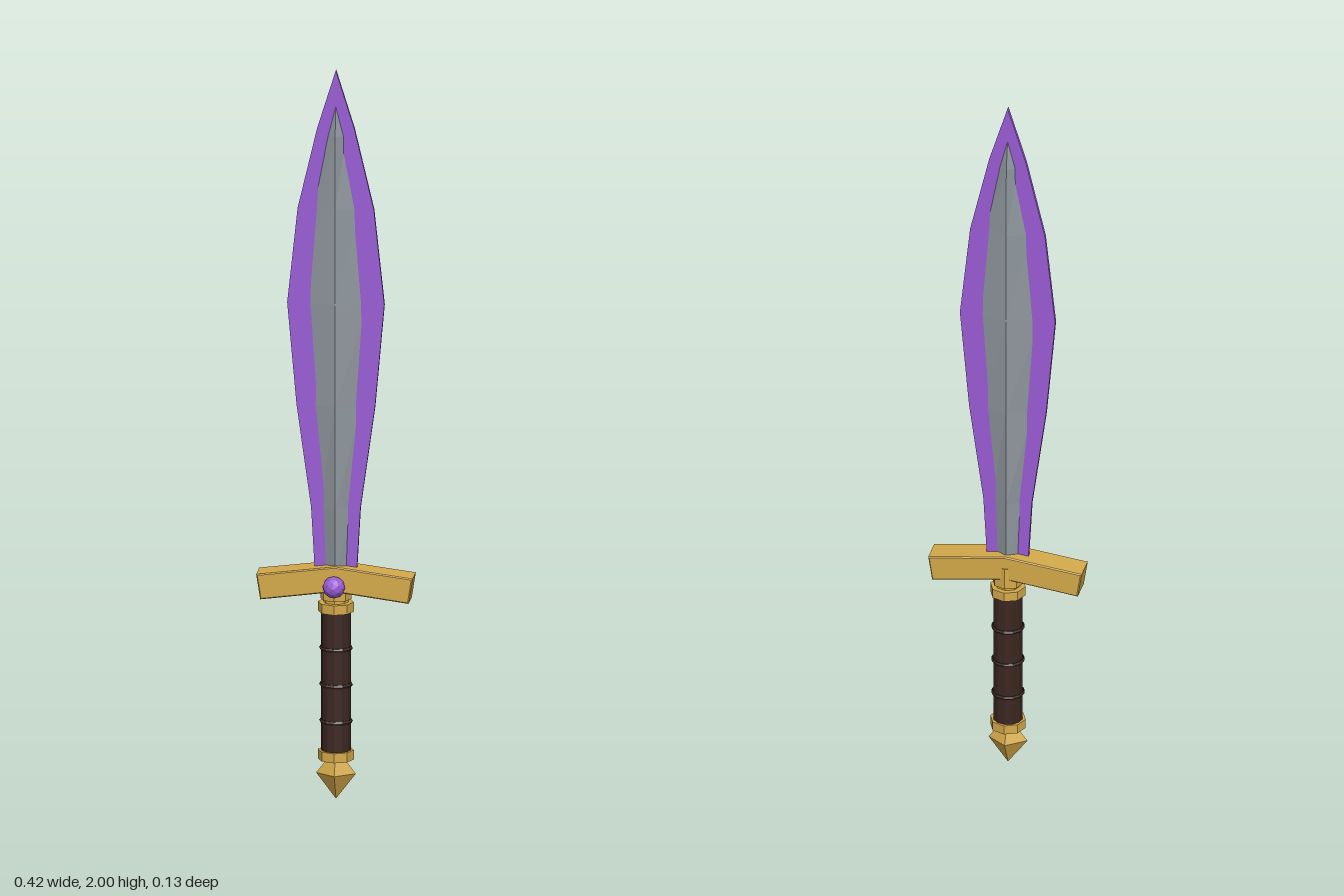
import * as THREE from 'three';

const Z = -0.016; // depth of the sword's central plane
const paint = (color) => new THREE.MeshStandardMaterial({ color, flatShading: true });

export function createModel() {
  const sword = new THREE.Group();
  sword.name = 'sword';
  const gold = paint(0xd4a94a), purple = paint(0x9a5cd6), steel = paint(0x8e969c), leather = paint(0x3b2620);

  const add = (name, geometry, material, y = 0, z = Z) => {
    const mesh = new THREE.Mesh(geometry, material);
    mesh.name = name;
    mesh.position.set(0, y, z);
    sword.add(mesh);
    return mesh;
  };
  // Symmetric outline from [halfWidth, y] pairs running bottom to top
  const mirrored = (half) => new THREE.Shape([
    ...half.map(([x, y]) => new THREE.Vector2(x, y)),
    ...half.slice().reverse().filter(([x]) => x > 0).map(([x, y]) => new THREE.Vector2(-x, y)),
  ]);

  // Thin coloured cutting edge
  const edge = new THREE.ExtrudeGeometry(mirrored([
    [0.056, 0.6], [0.057, 0.64], [0.066, 0.8], [0.105, 1.08], [0.13, 1.36], [0.102, 1.62], [0.05, 1.84], [0, 2],
  ]), { depth: 0.011, bevelEnabled: false });
  edge.translate(0, 0, -0.0055);
  add('bladeEdge', edge, purple);

  // Steel core: diamond cross-sections [y, halfWidth, halfDepth] joined upward
  const sections = [
    [0.6, 0.034, 0.026], [0.8, 0.041, 0.026], [1.08, 0.068, 0.026], [1.36, 0.087, 0.025],
    [1.62, 0.066, 0.023], [1.82, 0.028, 0.02], [1.93, 0, 0],
  ];
  const positions = [], indices = [];
  sections.forEach(([y, w, d], i) => {
    positions.push(w, y, 0, 0, y, d, -w, y, 0, 0, y, -d);
    if (i === sections.length - 1) return;
    for (let k = 0; k < 4; k++) {
      const a = i * 4 + k, b = i * 4 + (k + 1) % 4;
      indices.push(a, a + 4, b, b, a + 4, b + 4);
    }
  });
  // Faces wind outward for sections running +x, +z, -x, -z
  for (let i = 0; i < indices.length; i += 3) [indices[i + 1], indices[i + 2]] = [indices[i + 1], indices[i + 2]];
  const core = new THREE.BufferGeometry();
  core.setAttribute('position', new THREE.Float32BufferAttribute(positions, 3));
  core.setIndex(indices);
  core.computeVertexNormals();
  add('bladeCore', core, steel);

  // Drooping crossguard with a small bevel
  const guard = new THREE.ExtrudeGeometry(mirrored([
    [0, 0.579], [0.196, 0.553], [0.206, 0.616], [0, 0.642],
  ]), { depth: 0.07, bevelThickness: 0.003, bevelSize: 0.003, bevelSegments: 1 });
  guard.translate(0, 0, -0.035);
  add('crossguard', guard, gold);

  // Grip, its raised wraps and the gold collars
  add('grip', new THREE.CylinderGeometry(0.04, 0.04, 0.4, 12), leather, 0.325);
  for (const y of [0.215, 0.315, 0.415]) {
    const wrap = new THREE.TorusGeometry(0.039, 0.006, 6, 12);
    wrap.rotateX(Math.PI / 2);
    add('gripWrap', wrap, leather, y);
  }
  add('guardNeck', new THREE.CylinderGeometry(0.042, 0.042, 0.06, 8), gold, 0.58);
  add('gripCore', new THREE.CylinderGeometry(0.034, 0.034, 0.05, 8), gold, 0.54);
  add('upperCollar', new THREE.CylinderGeometry(0.048, 0.048, 0.026, 8), gold, 0.528);
  add('lowerCollar', new THREE.CylinderGeometry(0.048, 0.048, 0.026, 8), gold, 0.122);

  // Four-sided pointed pommel
  const pommel = new THREE.OctahedronGeometry(1);
  pommel.scale(0.053, 0.07, 0.04);
  add('pommel', pommel, gold, 0.07);

  // Gem on the front of the guard
  add('gem', new THREE.IcosahedronGeometry(0.03, 1), purple, 0.592, 0.032);

  return sword;
}
